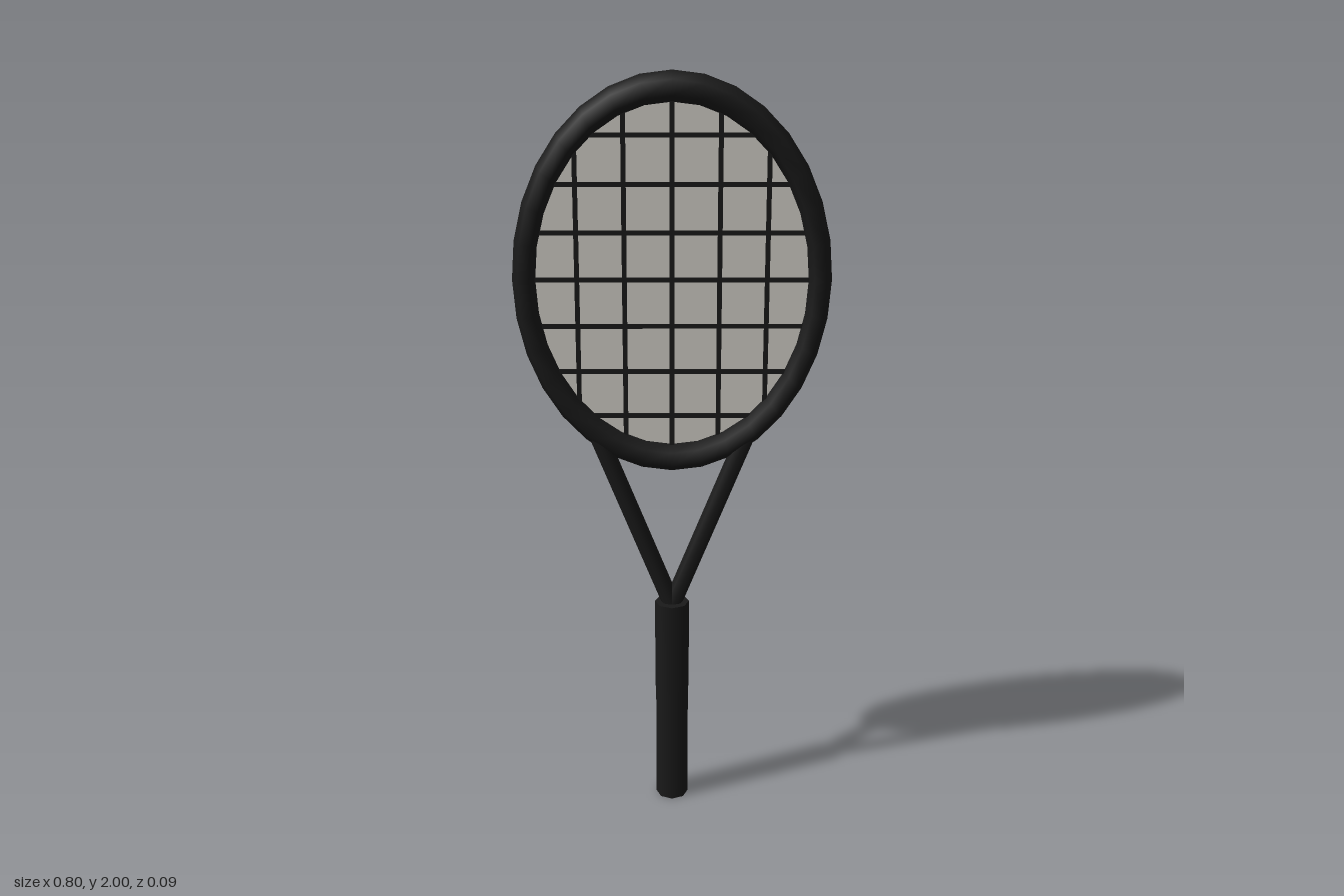
import * as THREE from 'three';

const CY = 1.49;        // head centre height
const STRETCH = 1.275;  // head height over width
const RING = 0.37;      // rim centre line, half width

export function createModel() {
  const black = new THREE.MeshStandardMaterial({ color: 0x1a1a1a });
  black.name = 'black';
  const pale = new THREE.MeshStandardMaterial({ color: 0xd6d3cc });
  pale.name = 'paleGrey';

  const group = new THREE.Group();
  group.name = 'racket';
  const add = (name, geometry, material, x = 0, y = 0, z = 0) => {
    const mesh = new THREE.Mesh(geometry, material);
    mesh.name = name;
    mesh.position.set(x, y, z);
    group.add(mesh);
    return mesh;
  };

  // Oval rim with a six-sided section
  const rim = new THREE.TorusGeometry(RING, 0.03, 6, 32).scale(1, STRETCH, 1.07);
  add('rim', rim, black, 0, CY);

  // Pale face inside the rim
  const face = new THREE.CylinderGeometry(RING, RING, 0.006, 32)
    .rotateX(Math.PI / 2).scale(1, STRETCH, 1);
  add('face', face, pale, 0, CY);

  // Strings, cut to the oval
  const step = 0.119, thick = 0.012;
  const chord = (t) => 2 * RING * Math.sqrt(1 - t * t);
  for (let i = -2; i <= 2; i++) {
    const length = chord((i * step) / RING) * STRETCH;
    add('mainString', new THREE.BoxGeometry(thick, length, thick), black, i * step, CY);
  }
  for (let i = -3; i <= 3; i++) {
    const length = chord((i * step) / (RING * STRETCH));
    add('crossString', new THREE.BoxGeometry(length, thick, thick), black, 0, CY + i * step);
  }

  // Two throat arms from the handle to the rim
  for (const side of [-1, 1]) {
    const a = new THREE.Vector3(0, 0.59, 0);
    const b = new THREE.Vector3(side * 0.195, 1.085, 0);
    const dir = b.clone().sub(a);
    const arm = add('throatArm', new THREE.CylinderGeometry(0.024, 0.024, dir.length(), 8), black);
    arm.position.copy(a).add(b).multiplyScalar(0.5);
    arm.quaternion.setFromUnitVectors(new THREE.Vector3(0, 1, 0), dir.normalize());
  }

  // Eight-sided handle with a slightly wider sleeve at the top
  add('grip', new THREE.CylinderGeometry(0.044, 0.044, 0.36, 8), black, 0, 0.18);
  add('sleeve', new THREE.CylinderGeometry(0.046, 0.046, 0.26, 8), black, 0, 0.47);

  return group;
}
